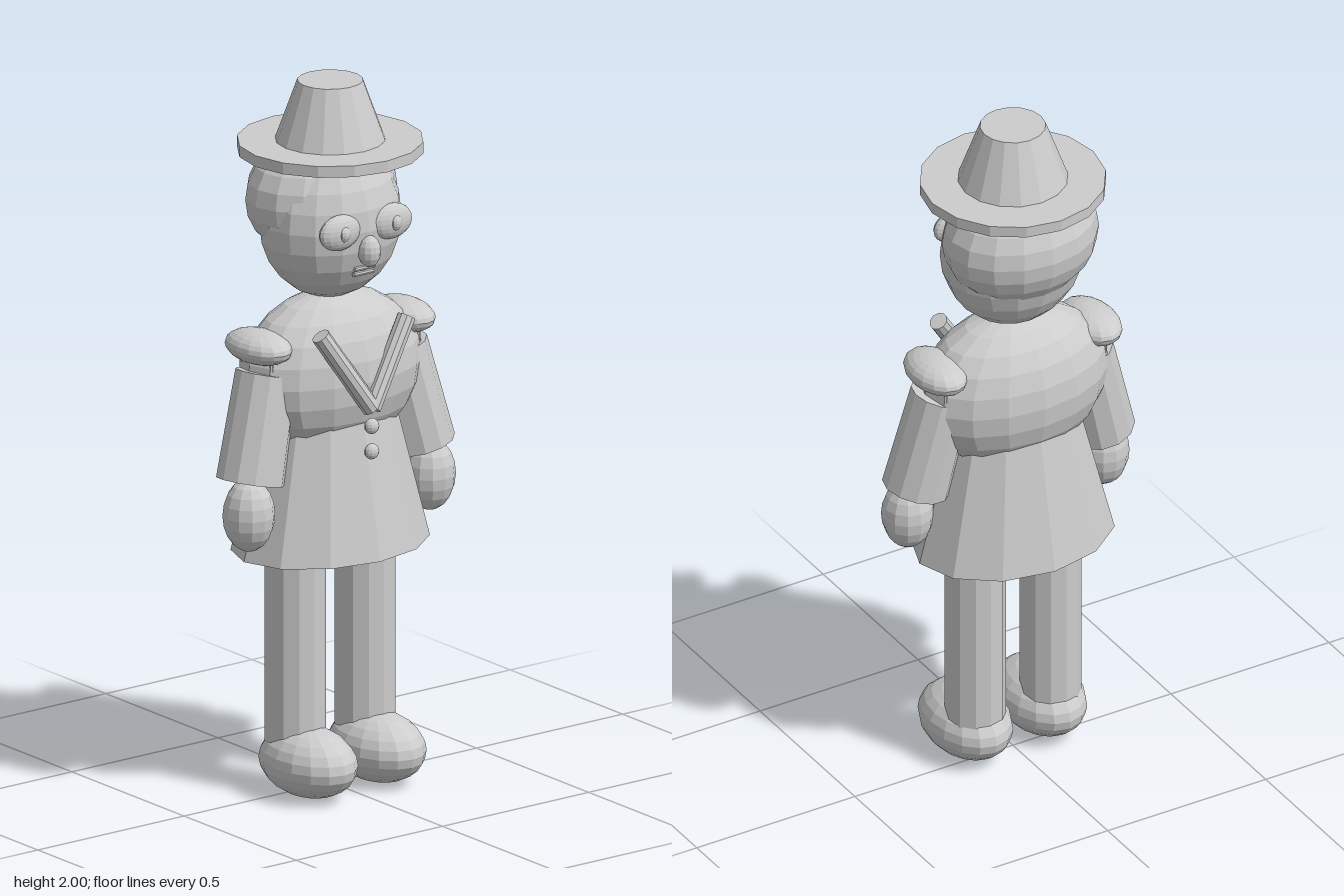
import * as THREE from 'three';

const grey = new THREE.MeshStandardMaterial({ color: 0xcccccc, flatShading: true });
grey.name = 'light grey';

export function createModel() {
  const model = new THREE.Group();
  model.name = 'uniformedFigure';

  function add(name, geometry, x, y, z) {
    const mesh = new THREE.Mesh(geometry, grey);
    mesh.name = name;
    mesh.position.set(x, y, z);
    model.add(mesh);
    return mesh;
  }

  const ellipsoid = (name, [x, y, z], [rx, ry, rz], w = 16, h = 12) =>
    add(name, new THREE.SphereGeometry(1, w, h).scale(rx, ry, rz), x, y, z);

  // Tapered cylinder between two points, a (radius ra) above b (radius rb)
  function rod(name, a, b, ra, rb, sides = 12) {
    const top = new THREE.Vector3(...a), bottom = new THREE.Vector3(...b);
    const axis = top.clone().sub(bottom);
    const mid = top.clone().add(bottom).multiplyScalar(0.5);
    const mesh = add(name, new THREE.CylinderGeometry(ra, rb, axis.length(), sides), mid.x, mid.y, mid.z);
    mesh.quaternion.setFromUnitVectors(new THREE.Vector3(0, 1, 0), axis.normalize());
    return mesh;
  }

  // Hat
  rod('hatCrown', [0, 2, 0], [0, 1.82, 0], 0.09, 0.155, 16);
  rod('hatBrim', [0, 1.832, 0], [0, 1.8, 0], 0.255, 0.255, 16);

  // Head, hair and face
  ellipsoid('head', [0, 1.61, 0], [0.207, 0.222, 0.175]);
  ellipsoid('hair', [0, 1.67, -0.04], [0.225, 0.18, 0.178]);
  ellipsoid('nose', [0, 1.555, 0.175], [0.032, 0.045, 0.031], 12, 8);
  rod('upperLip', [-0.033, 1.503, 0.152], [0.033, 1.503, 0.152], 0.007, 0.007, 8);
  rod('lowerLip', [-0.033, 1.487, 0.147], [0.033, 1.487, 0.147], 0.007, 0.007, 8);

  // Torso and coat skirt
  ellipsoid('chest', [0, 1.18, 0], [0.285, 0.23, 0.175]);
  rod('coatSkirt', [0, 1.12, 0], [0, 0.683, 0], 0.18, 0.295, 12).scale.z = 0.755;
  for (const y of [1.06, 0.988]) ellipsoid('button', [0, y, 0.185], [0.022, 0.022, 0.018], 12, 8);

  // Mirrored parts
  for (const s of [1, -1]) {
    const side = s > 0 ? 'left' : 'right';
    ellipsoid(side + 'Eye', [s * 0.088, 1.62, 0.157], [0.068, 0.05, 0.028]);
    ellipsoid(side + 'Pupil', [s * 0.088, 1.62, 0.178], [0.018, 0.022, 0.015], 10, 8);
    rod(side + 'Lapel', [s * 0.147, 1.335, 0.148], [0, 1.11, 0.185], 0.026, 0.026, 10);

    ellipsoid(side + 'Epaulette', [s * 0.245, 1.288, 0], [0.075, 0.046, 0.116]);
    for (const z of [-0.065, -0.033, 0, 0.033, 0.065])
      rod(side + 'Fringe', [s * 0.25, 1.28, z], [s * 0.255, 1.17, z], 0.006, 0.006, 6);
    rod(side + 'Sleeve', [s * 0.222, 1.21, 0.005], [s * 0.293, 0.918, 0.024], 0.086, 0.094, 12);
    ellipsoid(side + 'Hand', [s * 0.309, 0.83, 0.04], [0.072, 0.102, 0.073], 12, 10);

    rod(side + 'Leg', [s * 0.119, 0.78, 0], [s * 0.119, 0.12, 0], 0.084, 0.084, 12);
    ellipsoid(side + 'Shoe', [s * 0.117, 0.097, 0.055], [0.115, 0.097, 0.165]);
  }

  return model;
}
